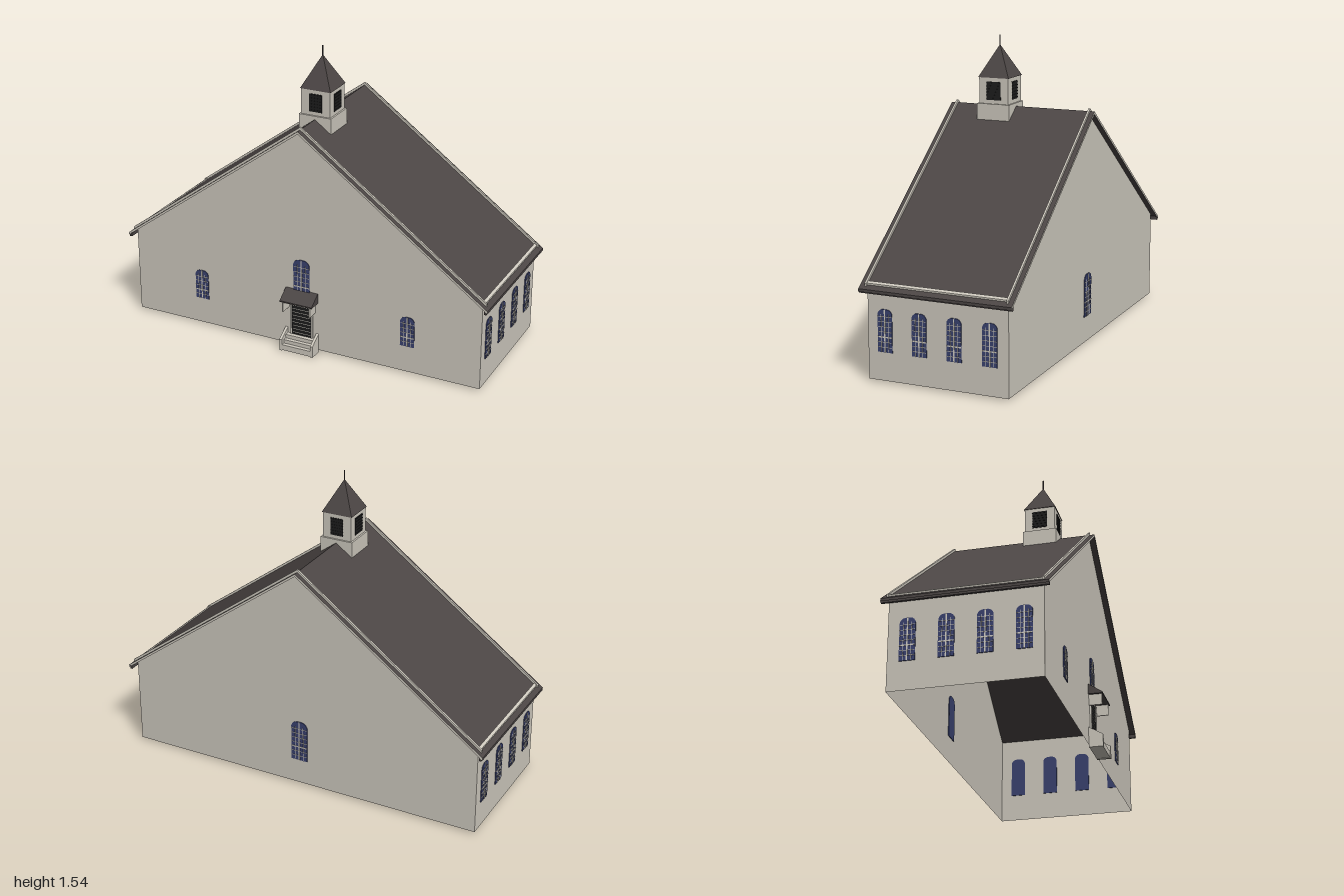
import * as THREE from 'three';

const mat = (name, color, side = THREE.FrontSide) => {
  const m = new THREE.MeshStandardMaterial({ color, side });
  m.name = name;
  return m;
};

export function createModel() {
  const stone = mat('stone', 0xcfcabf, THREE.DoubleSide);
  const slate = mat('slate', 0x4c4645, THREE.DoubleSide);
  const glass = mat('blue glass', 0x3a4270);
  const black = mat('black', 0x1d1d1d);
  const white = mat('pale trim', 0xd6d2c8);

  const model = new THREE.Group();
  model.name = 'chapel';
  const FRONT = 0.34, BACK = -0.38, HALF = 0.965, BASE = 0.012;
  const roofY = (x) => 1.19 - 0.735 * Math.abs(x);

  const add = (parent, name, geo, material, x = 0, y = 0, z = 0) => {
    const mesh = new THREE.Mesh(geo, material);
    mesh.name = name;
    mesh.position.set(x, y, z);
    parent.add(mesh);
    return mesh;
  };
  const box = (parent, name, material, w, h, d, x, y, z) =>
    add(parent, name, new THREE.BoxGeometry(w, h, d), material, x, y, z);
  const polygon = (pts) => new THREE.Shape(pts.map(([x, y]) => new THREE.Vector2(x, y)));
  const extrude = (shape, depth) =>
    new THREE.ExtrudeGeometry(shape, { depth, bevelEnabled: false, curveSegments: 8 });
  const group = (name, parent = model) => {
    const g = new THREE.Group();
    g.name = name;
    parent.add(g);
    return g;
  };

  // Hollow walls: two gables and two low side walls, open underneath
  const eave = roofY(HALF) - 0.008;
  const gable = polygon([[-HALF, BASE], [HALF, BASE], [HALF, eave], [0, 1.18], [-HALF, eave]]);
  add(model, 'frontWall', new THREE.ShapeGeometry(gable), stone, 0, 0, FRONT);
  add(model, 'backWall', new THREE.ShapeGeometry(gable), stone, 0, 0, BACK).rotation.y = Math.PI;
  for (const s of [-1, 1]) {
    const wall = add(model, s > 0 ? 'leftWall' : 'rightWall',
      new THREE.PlaneGeometry(FRONT - BACK, eave - BASE), stone,
      s * HALF, (eave + BASE) / 2, (FRONT + BACK) / 2);
    wall.rotation.y = s * Math.PI / 2;
  }

  // Roof slopes with raised trim along the gables and eaves
  for (const s of [-1, 1]) {
    const side = group(s > 0 ? 'leftRoof' : 'rightRoof');
    const slope = (x0, x1, lo, hi) => polygon([
      [s * x0, roofY(x0) + lo], [s * x1, roofY(x1) + lo],
      [s * x1, roofY(x1) + hi], [s * x0, roofY(x0) + hi]]);
    add(side, 'roofSlope', extrude(slope(0, 1, -0.014, 0), 0.78), [stone, slate], 0, 0, -0.41);
    for (const z of [0.335, -0.387]) {
      add(side, 'gableTrim', extrude(slope(0, 0.985, -0.002, 0.014), 0.01), stone, 0, 0, z);
    }
    add(side, 'eaveTrim', extrude(slope(0.965, 0.977, -0.002, 0.008), 0.72), stone, 0, 0, -0.38);
    box(side, 'eaveBoard', slate, 0.012, 0.02, 0.78, s * 0.988, 0.445, -0.02);
  }

  // Arched window facing +z, standing on its origin
  const makeWindow = (w, h, rows) => {
    const g = new THREE.Group();
    g.name = 'window';
    const spring = h - w * 0.3;
    const arch = new THREE.Shape();
    arch.moveTo(-w / 2, 0);
    arch.lineTo(w / 2, 0);
    arch.lineTo(w / 2, spring);
    arch.bezierCurveTo(w * 0.4, h, w * 0.2, h, 0, h);
    arch.bezierCurveTo(-w * 0.2, h, -w * 0.4, h, -w / 2, spring);
    add(g, 'pane', extrude(arch, 0.008), glass, 0, 0, -0.004);
    box(g, 'mullion', white, 0.006, h - 0.002, 0.003, 0, h / 2, 0.005);
    for (const s of [-1, 1]) {
      box(g, 'thinBar', white, 0.002, spring, 0.002, s * w / 4, spring / 2, 0.005);
    }
    for (let i = 1; i < rows; i++) {
      const t = i === Math.round(rows * 0.35) ? 0.006 : 0.0025;
      box(g, 'crossBar', white, w * 0.96, t, 0.002, 0, (i * spring) / (rows - 0.5), 0.005);
    }
    return g;
  };
  const placeWindow = (w, h, rows, x, y, z, turn) => {
    const g = makeWindow(w, h, rows);
    g.position.set(x, y, z);
    g.rotation.y = turn;
    model.add(g);
  };
  for (const s of [-1, 1]) {
    placeWindow(0.075, 0.16, 6, s * 0.58, 0.153, FRONT, 0);
    for (const z of [0.25, 0.072, -0.107, -0.287]) {
      placeWindow(0.075, 0.208, 8, s * HALF, 0.152, z, s * Math.PI / 2);
    }
  }
  placeWindow(0.09, 0.2, 7, 0, 0.295, FRONT, 0);
  placeWindow(0.09, 0.22, 8, 0, 0.145, BACK, Math.PI);

  // Front door with slats and a pale frame
  const door = group('door');
  box(door, 'doorPanel', black, 0.11, 0.19, 0.009, 0, 0.16, FRONT);
  for (let i = 0; i < 9; i++) {
    box(door, 'slat', white, 0.1, 0.0025, 0.002, 0, 0.085 + i * 0.019, FRONT + 0.005);
  }
  for (const s of [-1, 1]) box(door, 'jamb', white, 0.007, 0.19, 0.012, s * 0.058, 0.16, FRONT + 0.003);
  box(door, 'lintel', white, 0.123, 0.008, 0.012, 0, 0.257, FRONT + 0.003);

  // Profiles drawn across z are extruded along x
  const acrossX = (parent, name, pts, width, x, material) => {
    const mesh = add(parent, name, extrude(polygon(pts.map(([z, y]) => [-z, y])), width),
      material, x - width / 2, 0, 0);
    mesh.rotation.y = Math.PI / 2;
  };

  // Canopy over the door on two brackets
  const canopy = group('canopy');
  acrossX(canopy, 'canopyRoof', [[0.34, 0.275], [0.41, 0.275], [0.41, 0.282], [0.34, 0.328]], 0.18, 0, slate);
  for (const s of [-1, 1]) {
    acrossX(canopy, 'bracket', [[0.34, 0.22], [0.405, 0.22], [0.405, 0.275], [0.34, 0.275]], 0.006, s * 0.075, stone);
  }

  // Entrance steps between sloping cheek walls
  const steps = group('steps');
  for (let i = 0; i < 3; i++) {
    const depth = 0.067 - i * 0.02, h = 0.03 + i * 0.02;
    box(steps, 'step', stone, 0.17, h, depth, 0, h / 2 + 0.002, FRONT + depth / 2);
  }
  for (const s of [-1, 1]) {
    acrossX(steps, 'cheekWall', [[0.34, 0], [0.41, 0], [0.41, 0.062], [0.34, 0.103]], 0.014, s * 0.087, stone);
  }

  // Belfry astride the ridge
  const belfry = group('belfry');
  belfry.position.z = 0.1;
  const skirt = polygon([[-0.088, roofY(0.088) - 0.002], [0, 1.185], [0.088, roofY(0.088) - 0.002], [0.088, 1.207], [-0.088, 1.207]]);
  add(belfry, 'belfryBase', extrude(skirt, 0.176), stone, 0, 0, -0.088);
  box(belfry, 'belfryTower', stone, 0.158, 0.135, 0.158, 0, 1.2725, 0);
  for (let i = 0; i < 4; i++) {
    const face = group('louvre', belfry);
    face.rotation.y = i * Math.PI / 2;
    const w = i % 2 ? 0.078 : 0.068;
    box(face, 'opening', black, w, 0.092, 0.004, 0, 1.272, 0.0795);
    for (let k = 0; k < 6; k++) {
      box(face, 'louvreSlat', black, w, 0.004, 0.006, 0, 1.234 + k * 0.0155, 0.0805);
    }
  }
  const spire = new THREE.ConeGeometry(0.083 * Math.SQRT2, 0.16, 4).toNonIndexed();
  spire.rotateY(Math.PI / 4);
  spire.computeVertexNormals();
  add(belfry, 'spire', spire, slate, 0, 1.418, 0);
  add(belfry, 'finial', new THREE.CylinderGeometry(0.003, 0.003, 0.06, 6), slate, 0, 1.515, 0);

  return model;
}
